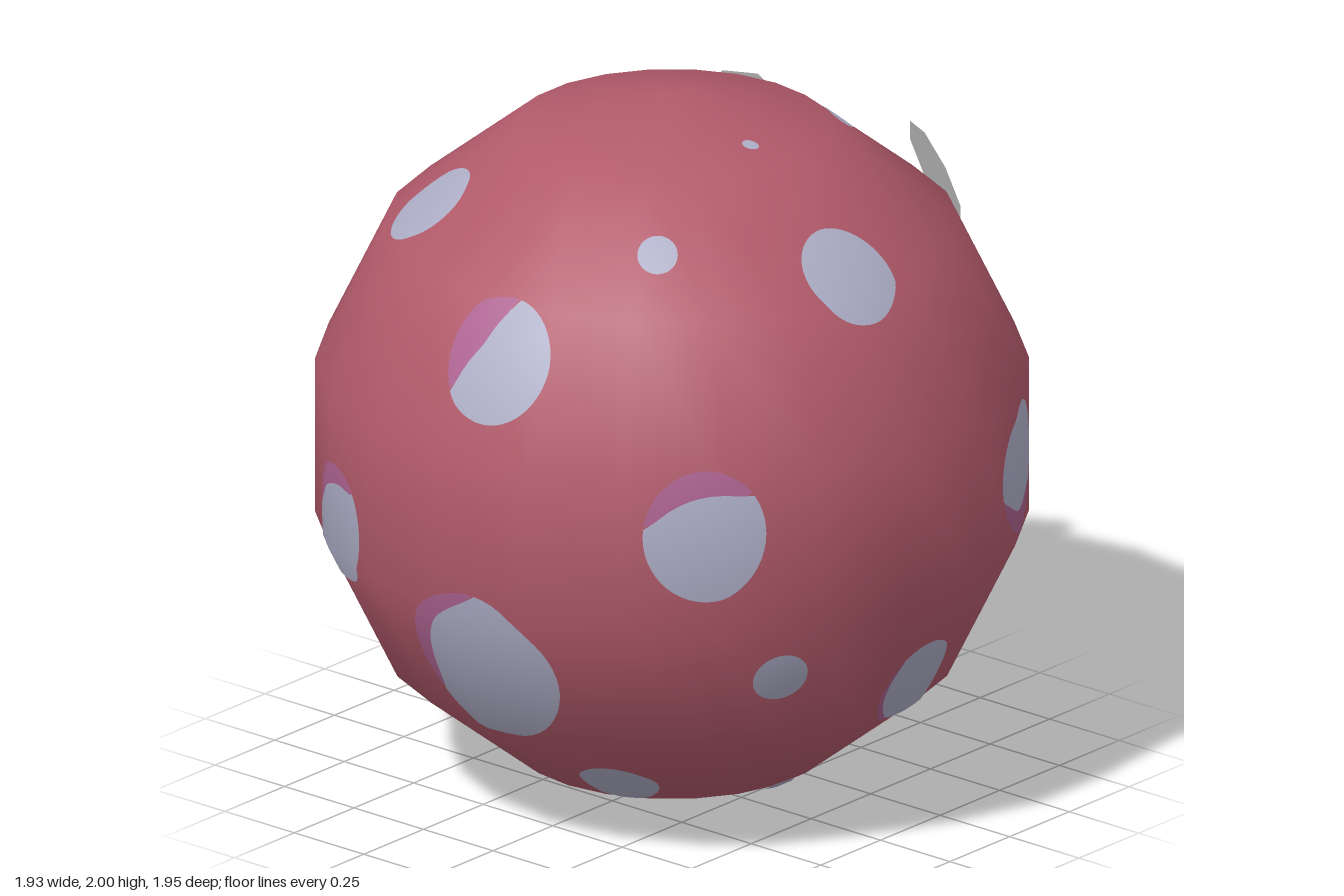
import * as THREE from 'three';

const SIDES = 22, BANDS = 7, LIFT = 0.005;
const rad = THREE.MathUtils.degToRad;

function flatColour(name, color) {
  const material = new THREE.MeshStandardMaterial({ color });
  material.name = name;
  return material;
}
const skin = flatColour('rose skin', 0xb25a6a);
const pale = flatColour('pale lilac', 0xadadc6);
const mauve = flatColour('mauve', 0xac6290);
const grey = flatColour('light grey', 0xcccccc);
grey.side = THREE.DoubleSide;

// Plain spots: heading and elevation in degrees, size
const PLAIN = [
  [-40, 47, 0.125], [37, 51, 0.055], [60, -23.5, 0.077], [25, -57, 0.11], [-62, -51, 0.128],
  [-75, 8, 0.067], [-99, -36, 0.057], [83, 43, 0.14], [-131, -51, 0.117], [150, 61, 0.047],
  [-104, 42, 0.063], [-115, 60.5, 0.04], [83, -65, 0.05], [-164, -68, 0.048], [84, 71.5, 0.022],
];

// Rimmed spots: the same, then the direction and depth of the mauve rim
const RIMMED = [
  [6.5, 29.6, 0.162, 150, 0.6], [-30, -8, 0.157, 110, 0.35],
  [5, -24.6, 0.235, 150, 0.25], [46, 4, 0.172, 105, 0.4],
  [-108, 8, 0.138, 0, 0.15], [119, -1, 0.168, 265, 0.35],
  [94, -33, 0.133, 200, 0.15], [166.5, 12.5, 0.15, 170, 0.25],
  [153, -42, 0.145, 110, 0.3], [-157, -25, 0.137, 10, 0.15],
];

// Distance from the ball's centre to its faceted surface along unit vector d
function surfaceRadius(d) {
  const step = (2 * Math.PI) / SIDES, k = Math.cos(step / 2);
  const heading = Math.atan2(d.x, d.z);
  const offset = heading - (Math.floor(heading / step) + 0.5) * step;
  const out = Math.hypot(d.x, d.z) * Math.cos(offset);
  let best = Infinity;
  for (let i = 0; i < BANDS; i++) {
    const t1 = (i * Math.PI) / BANDS, t2 = ((i + 1) * Math.PI) / BANDS;
    const r1 = Math.sin(t1) * k, r2 = Math.sin(t2) * k;
    const nx = Math.cos(t1) - Math.cos(t2), ny = r2 - r1;
    const along = nx * out + ny * d.y;
    if (along > 1e-6) best = Math.min(best, (nx * r1 + ny * Math.cos(t1)) / along);
  }
  return best;
}

// Patch laid over the ball between two outlines, each a fraction of the size by angle
function patch([heading, elevation, size], from, to, start, end) {
  const rings = 10, segs = 48;
  const n = new THREE.Vector3().setFromSphericalCoords(1, rad(90 - elevation), rad(heading));
  const east = new THREE.Vector3(0, 1, 0).cross(n).normalize();
  const north = n.clone().cross(east);
  const centre = n.clone().multiplyScalar(surfaceRadius(n));
  const positions = [], normals = [], index = [];
  for (let j = 0; j <= rings; j++) {
    for (let i = 0; i <= segs; i++) {
      const a = start + ((end - start) * i) / segs;
      const s = size * THREE.MathUtils.lerp(from(a), to(a), j / rings);
      const d = centre.clone()
        .addScaledVector(east, Math.cos(a) * s)
        .addScaledVector(north, Math.sin(a) * s * 1.1).normalize();
      normals.push(d.x, d.y, d.z);
      d.multiplyScalar(surfaceRadius(d) + LIFT);
      positions.push(d.x, d.y, d.z);
      if (j < rings && i < segs) {
        const p = j * (segs + 1) + i, q = p + segs + 1;
        index.push(p, q, q + 1, p, q + 1, p + 1);
      }
    }
  }
  const g = new THREE.BufferGeometry();
  g.setAttribute('position', new THREE.Float32BufferAttribute(positions, 3));
  g.setAttribute('normal', new THREE.Float32BufferAttribute(normals, 3));
  g.setIndex(index);
  return g;
}

function addMesh(parent, name, geometry, material) {
  const mesh = new THREE.Mesh(geometry, material);
  mesh.name = name;
  parent.add(mesh);
  return mesh;
}

const middle = () => 0, edge = () => 1;

function addRimmedSpot(parent, spot) {
  const direction = rad(spot[3]), depth = spot[4], half = rad(65);
  // the pale area draws back where the mauve rim eats into it
  const inner = (a) => {
    const off = Math.abs(Math.atan2(Math.sin(a - direction), Math.cos(a - direction)));
    return off < half ? 1 - depth * Math.sqrt(Math.cos((off / half) * Math.PI / 2)) : 1;
  };
  addMesh(parent, 'spotCentre', patch(spot, middle, inner, 0, 2 * Math.PI), pale);
  addMesh(parent, 'spotRim', patch(spot, inner, edge, direction - half, direction + half), mauve);
}

export function createModel() {
  const model = new THREE.Group();
  model.name = 'spottedBall';

  // Ball with smooth shading and a coarse outline
  const body = new THREE.Group();
  body.name = 'body';
  body.position.y = 1;
  model.add(body);
  addMesh(body, 'ball', new THREE.SphereGeometry(1, SIDES, BANDS, Math.PI / 2), skin);

  // Spots
  PLAIN.forEach((spot) => addMesh(body, 'spot', patch(spot, middle, edge, 0, 2 * Math.PI), pale));
  RIMMED.forEach((spot) => addRimmedSpot(body, spot));

  // Pair of flat eight-sided discs high on the back
  for (const side of [-1, 1]) {
    const geometry = new THREE.CircleGeometry(1, 8, Math.PI / 8).scale(0.13, 0.165, 1);
    const plate = addMesh(model, side > 0 ? 'leftDisc' : 'rightDisc', geometry, grey);
    plate.position.set(side * 0.342, 1.645, -0.705);
    plate.rotation.set(-0.36, Math.PI - side * 0.445, 0, 'YXZ');
  }
  return model;
}
